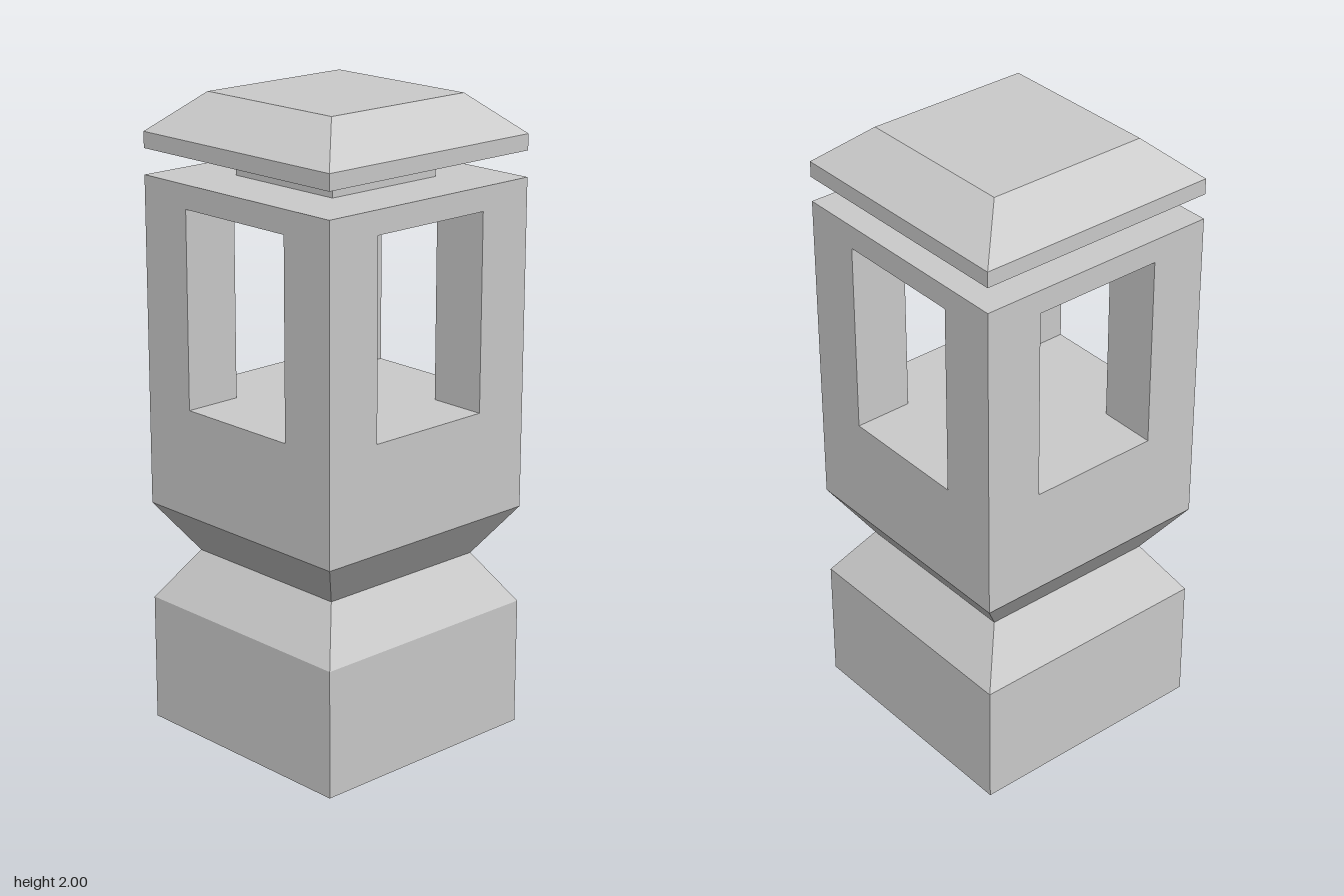
import * as THREE from 'three';

const HALF = 0.4; // half width of the square column
const OPENING = 0.213; // half width of the windows
const SILL = 1.06;
const LINTEL = 1.676;

const material = new THREE.MeshStandardMaterial({ color: 0xcccccc, flatShading: true });

// Square solid from a profile of [half width, height] points, bottom to top
function squareSolid(name, profile) {
  const points = profile.map(([half, y]) => new THREE.Vector2(half * Math.SQRT2, y));
  const mesh = new THREE.Mesh(new THREE.LatheGeometry(points, 4, Math.PI / 4), material);
  mesh.name = name;
  return mesh;
}

export function createModel() {
  const lantern = new THREE.Group();
  lantern.name = 'stoneLantern';

  // Base block, pinched waist and lower body, closed by the window floor
  lantern.add(squareSolid('pedestal', [
    [0, 0], [HALF, 0], [HALF, 0.406], [0.295, 0.565], [HALF, 0.719], [HALF, SILL], [0, SILL],
  ]));

  // Four square corner posts leave a window on every side
  const posts = new THREE.Group();
  posts.name = 'cornerPosts';
  const width = HALF - OPENING;
  const postGeometry = new THREE.BoxGeometry(width, LINTEL - SILL, width);
  for (const sx of [-1, 1]) {
    for (const sz of [-1, 1]) {
      const post = new THREE.Mesh(postGeometry, material);
      post.name = 'cornerPost';
      post.position.set(sx * (HALF - width / 2), (SILL + LINTEL) / 2, sz * (HALF - width / 2));
      posts.add(post);
    }
  }
  lantern.add(posts);

  // Slab above the windows
  lantern.add(squareSolid('lintel', [
    [0, LINTEL], [HALF, LINTEL], [HALF, 1.75], [0, 1.75],
  ]));

  // Narrow neck under the roof
  lantern.add(squareSolid('neck', [[0.208, 1.75], [0.208, 1.83]]));

  // Bevelled roof with a flat top
  lantern.add(squareSolid('roof', [
    [0, 1.83], [HALF, 1.83], [HALF, 1.88], [0.265, 2], [0, 2],
  ]));

  return lantern;
}
